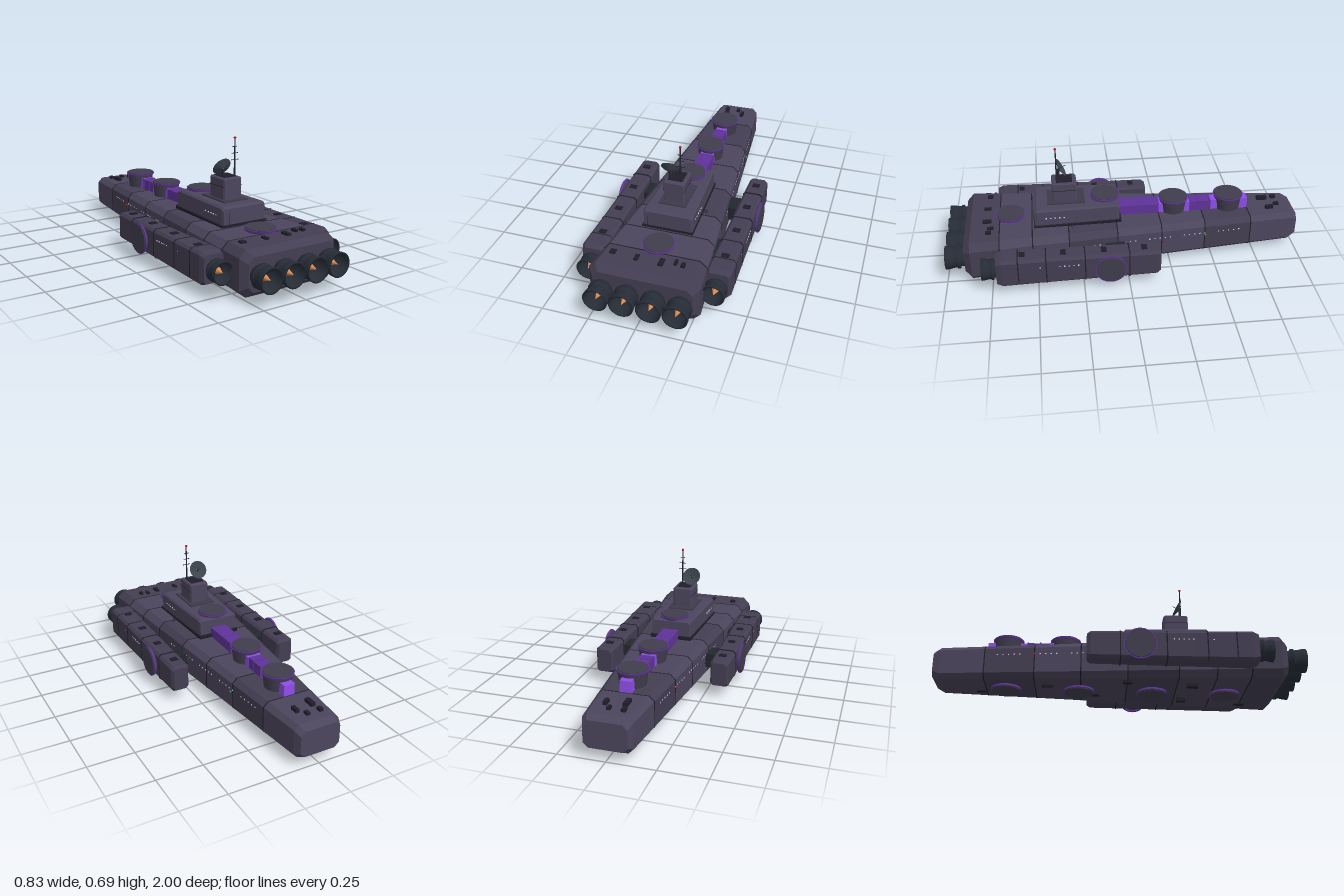
import * as THREE from 'three';

const mat = (color, flat = true, side = THREE.FrontSide) =>
  new THREE.MeshStandardMaterial({ color, flatShading: flat, side });
const HULL = mat(0x4b455c), PLATE = mat(0x433e52), SEAM = mat(0x201e28), GREY = mat(0x3d3a49);
const DARK = mat(0x22272f), PURPLE = mat(0x5f3399), BRIGHT = mat(0x8f4fe8);
const ROUND = mat(0x403d4c, false), METAL = mat(0x262c36, false, THREE.DoubleSide);
const GLOW = mat(0xd88850), RED = mat(0xc01818), GREEN = mat(0x20a050), LIGHT = mat(0xe0c8f0);
const DISH = mat(0x3c444e, true, THREE.DoubleSide);

// Lofts chamfered box sections [z, halfWidth, yBottom, yTop, chamfer], ordered from -z to +z
function loft(sections) {
  const rings = sections.map(([z, w, b, t, c]) => [
    [w - c, b, z], [w, b + c, z], [w, t - c, z], [w - c, t, z],
    [c - w, t, z], [-w, t - c, z], [-w, b + c, z], [c - w, b, z]]);
  const pos = [];
  const tri = (...p) => p.forEach(v => pos.push(...v));
  for (let k = 0; k + 1 < rings.length; k++) {
    const a = rings[k], b = rings[k + 1];
    for (let i = 0; i < 8; i++) {
      const j = (i + 1) % 8;
      tri(b[i], a[i], a[j]);
      tri(b[i], a[j], b[j]);
    }
  }
  const first = rings[0], last = rings[rings.length - 1];
  for (let i = 1; i < 7; i++) {
    tri(first[0], first[i + 1], first[i]);
    tri(last[0], last[i], last[i + 1]);
  }
  const g = new THREE.BufferGeometry();
  g.setAttribute('position', new THREE.Float32BufferAttribute(pos, 3));
  g.computeVertexNormals();
  return g;
}

function add(parent, name, geo, material, x = 0, y = 0, z = 0) {
  const m = new THREE.Mesh(geo, material);
  m.name = name;
  m.position.set(x, y, z);
  parent.add(m);
  return m;
}
const box = (parent, name, material, w, h, d, x, y, z) =>
  add(parent, name, new THREE.BoxGeometry(w, h, d), material, x, y, z);

// Hull section at a given z, with straight taper between bow and stern
function hullAt(z, grow = 0) {
  const t = (z + 0.96) / 1.82;
  const mix = (a, b) => a + (b - a) * t;
  return [z, mix(0.127, 0.29) + grow, mix(0.045, 0.02) - grow, mix(0.228, 0.255) + grow, mix(0.025, 0.037)];
}

// Round emplacement: flared drum, coloured rim and flat cap, standing on y = 0
function turret(name, height) {
  const g = new THREE.Group();
  g.name = name;
  add(g, 'drum', new THREE.CylinderGeometry(0.08, 0.07, height, 32), ROUND, 0, height / 2, 0);
  add(g, 'rim', new THREE.CylinderGeometry(0.086, 0.083, 0.01, 32), PURPLE, 0, height - 0.008, 0);
  add(g, 'cap', new THREE.CylinderGeometry(0.078, 0.08, 0.006, 32), ROUND, 0, height, 0);
  return g;
}

// Nozzle pointing to +z, starting at z = 0
function engine(radius, length) {
  const g = new THREE.Group();
  g.name = 'engine';
  const profile = [[0.72, 0], [0.8, 0.1], [0.8, 0.25], [0.98, 0.28], [0.98, 0.4], [0.88, 0.43], [0.9, 0.6],
    [0.98, 0.8], [1, 1], [0.88, 1], [0.75, 0.5], [0, 0.42]];
  const bell = new THREE.LatheGeometry(
    profile.map(([r, l]) => new THREE.Vector2(r * radius, l * length)), 28);
  bell.rotateX(Math.PI / 2);
  add(g, 'nozzle', bell, METAL);
  const flame = new THREE.ConeGeometry(0.019, length * 0.5, 16);
  flame.rotateX(Math.PI / 2);
  add(g, 'exhaustCone', flame, GLOW, 0, 0, length * 0.66);
  return g;
}

export function createModel() {
  const ship = new THREE.Group();
  ship.name = 'starship';

  // Main hull: plated segments, bevelled bow and stern, dark seams
  const cuts = [-0.96, -0.72, -0.45, -0.2, 0.05, 0.32, 0.52, 0.7, 0.86];
  for (let i = 0; i + 1 < cuts.length; i++) {
    add(ship, 'hullSegment', loft([hullAt(cuts[i]), hullAt(cuts[i + 1])]), i % 3 === 1 ? PLATE : HULL);
    if (i) add(ship, 'hullSeam', loft([hullAt(cuts[i] - 0.003, 0.001), hullAt(cuts[i] + 0.003, 0.001)]), SEAM);
  }
  add(ship, 'bow', loft([[-1, 0.112, 0.065, 0.208, 0.025], hullAt(-0.96)]), HULL);
  add(ship, 'stern', loft([hullAt(0.86), [0.895, 0.26, 0.05, 0.225, 0.03]]), PLATE);
  for (const x of [-0.205, -0.07, 0.07, 0.205]) {
    const e = engine(0.065, 0.11);
    e.position.set(x, 0.136, 0.89);
    ship.add(e);
  }

  // Purple spine in narrowing segments
  [[0.03, -0.2, 0.045], [-0.2, -0.38, 0.04], [-0.38, -0.5, 0.036], [-0.5, -0.72, 0.031]].forEach(([z0, z1, w], i) =>
    box(ship, 'spine', i % 2 ? BRIGHT : PURPLE, w * 2, 0.065, z0 - z1, 0, 0.265 - i * 0.001, (z0 + z1) / 2));
  for (const z of [-0.1, -0.2, -0.43, -0.5])
    box(ship, 'spineBand', PURPLE, 0.078, 0.066, 0.008, 0, 0.266, z);

  // Upper and lower emplacements
  [[-0.61, 0.235, 0.087], [-0.29, 0.235, 0.087], [0.105, 0.345, 0.025], [0.64, 0.245, 0.026]].forEach(([z, y, h]) => {
    const t = turret('upperTurret', h);
    t.position.set(0, y, z);
    ship.add(t);
  });
  [[0.59, 0.026], [0.19, 0.03], [-0.21, 0.036], [-0.61, 0.042]].forEach(([z, y]) => {
    const t = turret('lowerTurret', 0.02);
    t.rotation.x = Math.PI;
    t.position.set(0, y, z);
    ship.add(t);
  });

  // Bridge superstructure and tower
  add(ship, 'bridgeBase', loft([[0.03, 0.112, 0.24, 0.345, 0.012], [0.045, 0.117, 0.24, 0.355, 0.01],
    [0.49, 0.135, 0.24, 0.355, 0.01], [0.505, 0.13, 0.24, 0.345, 0.012]]), HULL);
  add(ship, 'bridgeSkirt', loft([[0.02, 0.12, 0.235, 0.262, 0.004], [0.51, 0.14, 0.235, 0.262, 0.004]]), SEAM);
  box(ship, 'towerStep', GREY, 0.15, 0.01, 0.21, 0, 0.357, 0.325);
  add(ship, 'tower', loft([[0.262, 0.05, 0.35, 0.468, 0.006], [0.272, 0.057, 0.35, 0.475, 0.006],
    [0.392, 0.057, 0.35, 0.475, 0.006], [0.4, 0.052, 0.35, 0.47, 0.006]]), HULL);
  box(ship, 'towerRoof', SEAM, 0.08, 0.004, 0.09, 0, 0.476, 0.33);
  box(ship, 'towerSeam', SEAM, 0.116, 0.003, 0.132, 0, 0.43, 0.332);

  // Antenna mast with crossbars and beacon
  add(ship, 'mast', new THREE.CylinderGeometry(0.003, 0.005, 0.205, 8), DARK, 0.03, 0.575, 0.37);
  [[0.565, 0.048], [0.6, 0.038], [0.635, 0.028]].forEach(([y, w]) =>
    box(ship, 'mastCrossbar', DARK, w, 0.003, 0.003, 0.03, y, 0.37));
  add(ship, 'beacon', new THREE.SphereGeometry(0.007, 12, 8), RED, 0.03, 0.681, 0.37);

  // Shallow conical dish tilted toward the bow
  const dish = new THREE.Group();
  dish.name = 'dish';
  add(dish, 'reflector', new THREE.CylinderGeometry(0.053, 0.004, 0.018, 24, 1, true), DISH);
  add(dish, 'feed', new THREE.CylinderGeometry(0.002, 0.002, 0.045, 6), DARK, 0, 0.015, 0);
  dish.position.set(-0.033, 0.525, 0.35);
  dish.rotation.x = -Math.PI / 3;
  ship.add(dish);
  add(ship, 'dishPost', new THREE.CylinderGeometry(0.006, 0.008, 0.05, 8), DARK, -0.033, 0.495, 0.358);

  // Side pods with struts, outer emplacement and engine
  for (const s of [-1, 1]) {
    const pod = new THREE.Group();
    pod.name = s > 0 ? 'leftPod' : 'rightPod';
    add(pod, 'podHull', loft([[-0.17, 0.04, 0.075, 0.205, 0.012], [-0.15, 0.052, 0.065, 0.215, 0.014],
      [0.4, 0.058, 0.058, 0.218, 0.014], [0.69, 0.064, 0.055, 0.22, 0.014], [0.72, 0.055, 0.065, 0.21, 0.014]]),
    PLATE, s * 0.335, 0, 0);
    for (const z of [0, 0.24, 0.45, 0.6])
      add(pod, 'podSeam', loft([[z, 0.055 + z * 0.014, 0.058, 0.22, 0.014],
        [z + 0.006, 0.055 + z * 0.014, 0.058, 0.22, 0.014]]), SEAM, s * 0.335, 0, 0);
    const t = turret('sideTurret', 0.03);
    t.rotation.z = -s * Math.PI / 2;
    t.position.set(s * 0.38, 0.137, 0.105);
    pod.add(t);
    const e = engine(0.06, 0.09);
    e.position.set(s * 0.333, 0.136, 0.71);
    pod.add(e);
    box(pod, 'frontStrut', DARK, 0.14, 0.08, 0.11, s * 0.25, 0.137, 0.065);
    box(pod, 'rearStrut', DARK, 0.09, 0.09, 0.26, s * 0.26, 0.137, 0.54);
    for (let i = 0; i < 4; i++)
      box(pod, 'podVent', SEAM, 0.04, 0.006, 0.03, s * 0.335, 0.22, -0.08 + i * 0.22);
    for (let i = 0; i < 9; i++)
      box(pod, 'podWindow', LIGHT, 0.004, 0.006, 0.007, s * 0.393, 0.168, 0.28 + i * 0.025 + (i > 4 ? 0.08 : 0));
    ship.add(pod);

    // Hull and bridge windows, navigation light
    for (let i = 0; i < 22; i++) {
      const z = -0.65 + i * 0.03 + Math.floor(i / 5) * 0.05;
      box(ship, 'hullWindow', LIGHT, 0.004, 0.006, 0.007, s * hullAt(z)[1], 0.17, z);
    }
    for (let i = 0; i < 5; i++)
      box(ship, 'bridgeWindow', LIGHT, 0.004, 0.006, 0.008, s * 0.133, 0.305, 0.34 + i * 0.025);
    add(ship, 'navigationLight', new THREE.SphereGeometry(0.006, 10, 6), s > 0 ? GREEN : RED,
      s * 0.185, 0.165, -0.45);
    box(ship, 'hullStripe', SEAM, 0.006, 0.004, 0.1, s * 0.215, 0.125, 0.04);
  }

  // Small deck fittings at bow, stern and underside: [x, y, z, w, h, d]
  [[-0.05, 0.238, -0.83, 0.025, 0.022, 0.06], [0.05, 0.238, -0.85, 0.02, 0.02, 0.045],
    [-0.06, 0.236, -0.9, 0.022, 0.016, 0.03], [0.015, 0.236, -0.9, 0.02, 0.014, 0.03],
    [-0.2, 0.257, 0.76, 0.03, 0.012, 0.03], [0.06, 0.259, 0.77, 0.025, 0.012, 0.05],
    [0.13, 0.259, 0.75, 0.015, 0.016, 0.035], [0.17, 0.259, 0.76, 0.02, 0.014, 0.03],
    [-0.07, 0.259, 0.77, 0.02, 0.01, 0.04], [-0.12, 0.02, 0.4, 0.03, 0.024, 0.06],
    [0.09, 0.018, 0.36, 0.025, 0.026, 0.05], [-0.06, 0.035, -0.38, 0.02, 0.02, 0.06],
    [0.07, 0.035, -0.12, 0.03, 0.016, 0.04], [0.05, 0.042, -0.75, 0.025, 0.016, 0.05],
    [0.16, 0.022, 0.7, 0.03, 0.012, 0.06], [-0.15, 0.022, 0.05, 0.025, 0.014, 0.05]]
    .forEach(([x, y, z, w, h, d]) => box(ship, 'deckFitting', SEAM, w, h, d, x, y, z));
  add(ship, 'bridgeWhip', new THREE.CylinderGeometry(0.0015, 0.0015, 0.08, 5), DARK, -0.105, 0.29, 0.52);
  for (let i = 0; i < 4; i++)
    add(ship, 'deckWhip', new THREE.CylinderGeometry(0.0015, 0.0015, 0.025, 5), DARK, 0.14 + i * 0.006, 0.26, 0.3);

  return ship;
}
